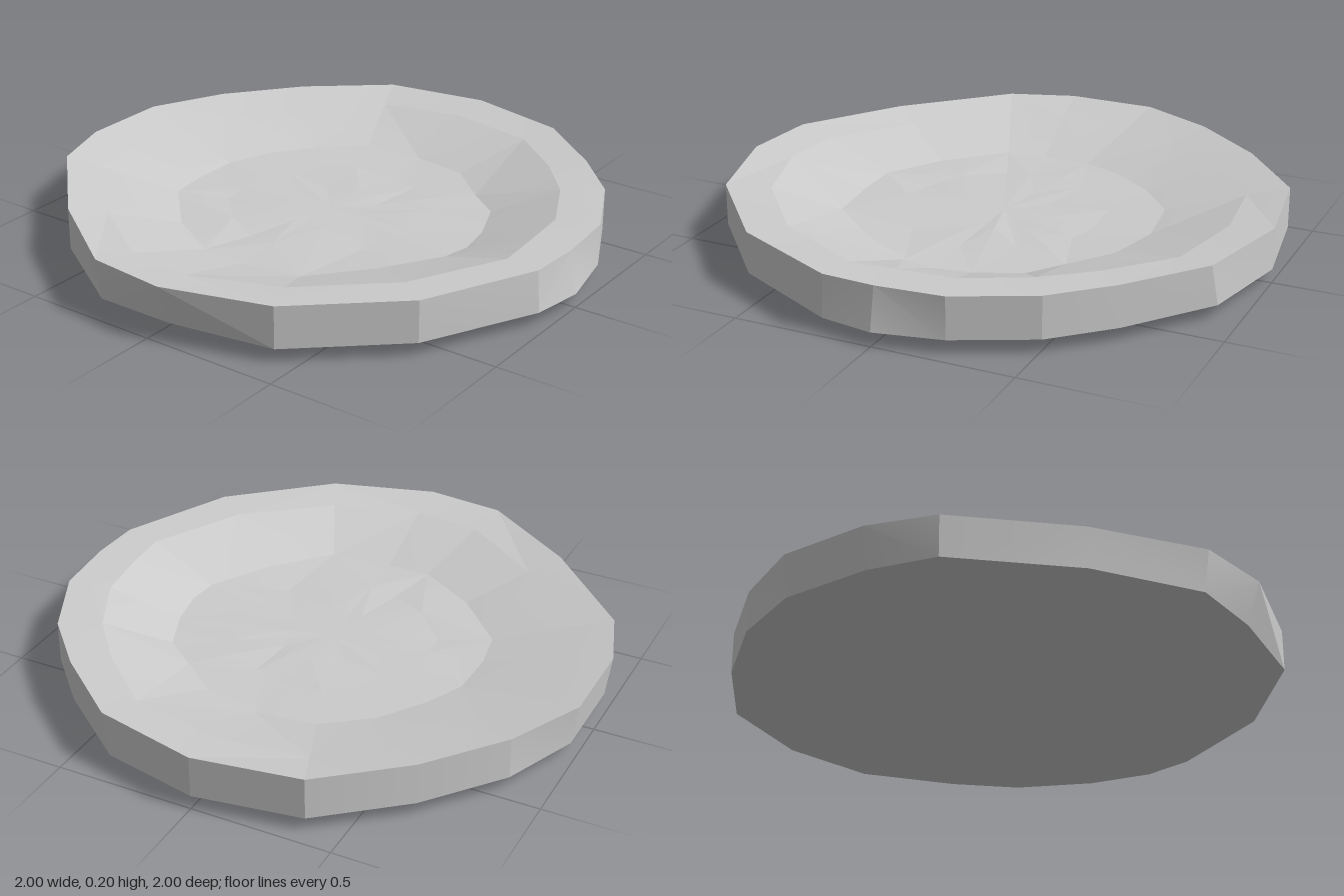
import * as THREE from 'three';
import { toCreasedNormals } from 'three/addons/utils/BufferGeometryUtils.js';

// Irregular rim outline as [x, z], running from the left side round by the front
const OUTLINE = [
  [1, 0], [0.91, 0.38], [0.7, 0.64], [0.51, 0.82], [0.24, 0.95], [0, 0.97],
  [-0.19, 0.96], [-0.59, 0.77], [-0.89, 0.43], [-1, 0.05], [-0.97, -0.24], [-0.73, -0.59],
  [-0.39, -0.92], [-0.15, -1], [0.18, -1], [0.45, -0.87], [0.71, -0.66], [0.94, -0.38],
];

// Small repeatable noise in -1..1
function noise(i, k) {
  const s = Math.sin(i * 12.9898 + k * 78.233) * 43758.5453;
  return 2 * (s - Math.floor(s)) - 1;
}

// Scaled copy of the outline, optionally roughened and tilted up to the front
function ring(scale, y, { rough = 0, bump = 0, tilt = 0, seed = 0 } = {}) {
  return OUTLINE.map(([x, z], i) => {
    const s = scale * (1 + rough * noise(i, seed));
    return [x * s, y + tilt * z + bump * noise(i, seed + 5), z * s];
  });
}

// Joins successive rings into one faceted skin; edges sharper than crease stay hard
function skin(rings, crease) {
  const pos = [];
  const n = OUTLINE.length;
  for (let k = 0; k < rings.length - 1; k++) {
    for (let i = 0; i < n; i++) {
      const j = (i + 1) % n;
      const a = rings[k][i], b = rings[k][j], c = rings[k + 1][i], d = rings[k + 1][j];
      if ((i + k) % 2) pos.push(...a, ...b, ...d, ...a, ...d, ...c);
      else pos.push(...a, ...b, ...c, ...b, ...d, ...c);
    }
  }
  const geometry = new THREE.BufferGeometry();
  geometry.setAttribute('position', new THREE.Float32BufferAttribute(pos, 3));
  return toCreasedNormals(geometry, crease);
}

export function createModel() {
  const group = new THREE.Group();
  group.name = 'shallowStoneDish';
  const stone = new THREE.MeshStandardMaterial({ color: 0xcccccc });

  const rim = ring(1, 0.2);

  // Lower edge: tucked in on the right and back, bulging a little at the front
  const foot = OUTLINE.map(([x, z]) => [Math.max(x, -0.95), 0.05, Math.max(z, -0.98)]);
  foot[1] = [0.925, 0.05, 0.35];
  foot[5][2] = 1;
  foot[6][2] = 0.97;

  // Hollowed top: uneven floor, sloping wall, shoulder (higher at the front), rim
  const basin = [
    ring(0, 0.098),
    ring(0.18, 0.098, { rough: 0.06, bump: 0.003, seed: 1 }),
    ring(0.37, 0.098, { rough: 0.05, bump: 0.005, seed: 2 }),
    ring(0.57, 0.103, { rough: 0.04, bump: 0.005, seed: 3 }),
    ring(0.85, 0.18, { rough: 0.015, bump: 0.004, tilt: 0.016, seed: 4 }),
    rim,
  ];

  const parts = [
    ['basin', basin, 0.06],
    ['outerWall', [rim, foot], 0.25],
    ['underside', [foot, ring(0.6, 0.01), ring(0, 0)], 0.06],
  ];
  for (const [name, rings, crease] of parts) {
    const mesh = new THREE.Mesh(skin(rings, crease), stone);
    mesh.name = name;
    group.add(mesh);
  }
  return group;
}
